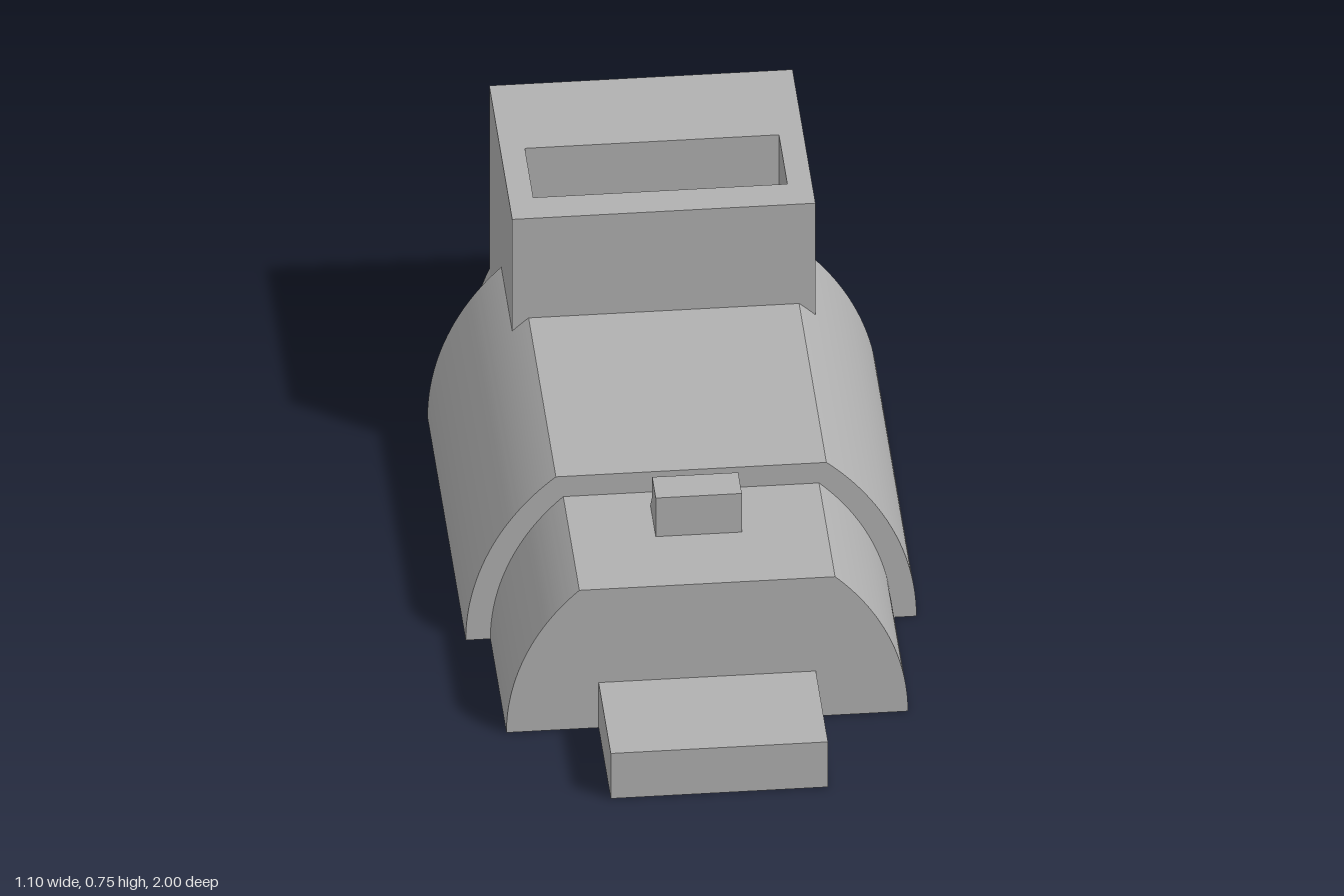
import * as THREE from 'three';
import { toCreasedNormals } from 'three/addons/utils/BufferGeometryUtils.js';

const EPS = 1e-4;

// Keep only the triangles that do not lie fully on a plane listed in `planes` ([axis, value])
function openFaces(geometry, planes) {
  const src = (geometry.index ? geometry.toNonIndexed() : geometry).attributes.position.array;
  const kept = [];
  for (let i = 0; i < src.length; i += 9) {
    const onPlane = planes.some(([axis, value]) =>
      [0, 3, 6].every((k) => Math.abs(src[i + k + axis] - value) < EPS));
    if (!onPlane) kept.push(...src.slice(i, i + 9));
  }
  const g = new THREE.BufferGeometry();
  g.setAttribute('position', new THREE.Float32BufferAttribute(kept, 3));
  return toCreasedNormals(g, 0.4);
}

// Arched outline: half width w at the base, curving in to a flat top at (tx, ty)
function archShape(w, tx, ty) {
  const c = (tx * tx + ty * ty - w * w) / (2 * (tx - w));
  const r = w - c;
  const a = Math.atan2(ty, tx - c);
  const s = new THREE.Shape();
  s.moveTo(w, 0);
  s.absarc(c, 0, r, 0, a, false);
  s.lineTo(-tx, ty);
  s.absarc(-c, 0, r, Math.PI - a, Math.PI, false);
  return s;
}

// Arch extruded from z0 to z1, open underneath and at any inner joint
function archHull(shape, z0, z1, joint) {
  const g = new THREE.ExtrudeGeometry(shape, { depth: z1 - z0, bevelEnabled: false, curveSegments: 28 });
  g.translate(0, 0, z0);
  return openFaces(g, [[1, 0], [2, joint]]);
}

function rectPath(x0, x1, z0, z1, Type = THREE.Path) {
  return new Type([[x0, z0], [x1, z0], [x1, z1], [x0, z1]].map((p) => new THREE.Vector2(...p)));
}

export function createModel() {
  const model = new THREE.Group();
  model.name = 'slideBody';
  const grey = new THREE.MeshStandardMaterial({ color: 0xb0b0b0 });
  grey.name = 'plainGrey';
  const add = (name, geometry) => {
    const mesh = new THREE.Mesh(geometry, grey);
    mesh.name = name;
    model.add(mesh);
    return mesh;
  };

  // Three arched sections, front to back
  const mainShape = archShape(0.55, 0.33, 0.464);
  add('frontSection', archHull(archShape(0.49, 0.312, 0.405), 0.28, 0.69, 0.28));
  add('mainSection', archHull(mainShape, -0.695, 0.28, -0.695));
  add('rearFoot', archHull(archShape(0.415, 0.37, 0.219), -1, -0.695, -0.695));

  // Rear shoulder of the main section, notched where it meets the foot
  const arch = mainShape.getPoints(28);
  const notch = [[-0.3, 0], [-0.3, 0.21], [0.3, 0.21], [0.3, 0]].map((p) => new THREE.Vector2(...p));
  const shoulder = new THREE.ShapeGeometry(new THREE.Shape([...arch, ...notch]));
  shoulder.rotateY(Math.PI).translate(0, 0, -0.695);
  add('rearShoulder', shoulder);

  // Tall rear block with a slot in its top
  const blockShape = rectPath(-0.37, 0.37, -1, -0.415, THREE.Shape);
  blockShape.holes.push(rectPath(-0.31, 0.31, -0.72, -0.505));
  const block = new THREE.ExtrudeGeometry(blockShape, { depth: 0.536, bevelEnabled: false });
  block.rotateX(Math.PI / 2).translate(0, 0.755, 0);
  add('rearBlock', block);
  add('slotFloor', new THREE.BoxGeometry(0.62, 0.02, 0.215)).position.set(0, 0.34, -0.6125);

  // Front tongue
  add('frontTongue', new THREE.BoxGeometry(0.53, 0.132, 0.31)).position.set(0, 0.066, 0.845);

  // Small catch on the front section, with a ramp behind it (drawn as z, y)
  const catchShape = new THREE.Shape(
    [[0.475, 0.4], [0.475, 0.518], [0.383, 0.518], [0.383, 0.46], [0.337, 0.405], [0.337, 0.4]]
      .map(([z, y]) => new THREE.Vector2(-z, y)));
  const catchGeo = new THREE.ExtrudeGeometry(catchShape, { depth: 0.21, bevelEnabled: false });
  catchGeo.translate(0, 0, -0.105).rotateY(Math.PI / 2);
  add('topCatch', catchGeo);

  // Flat underside with three square pockets
  const half = [[0.49, 0.69], [0.49, 0.28], [0.55, 0.28], [0.55, -0.695], [0.415, -0.695], [0.415, -1]];
  const outline = [...half, ...half.map(([x, z]) => [-x, z]).reverse()];
  const baseShape = new THREE.Shape(outline.map((p) => new THREE.Vector2(...p)));
  const size = 0.146, depth = 0.2;
  for (const [x, z] of [[0.35, 0.04], [-0.35, 0.04], [0, -0.76]]) {
    baseShape.holes.push(rectPath(x - size / 2, x + size / 2, z - size / 2, z + size / 2));
    // Mirrored box, so its faces look inward
    const box = new THREE.BoxGeometry(size, depth, size).scale(1, -1, 1).translate(x, depth / 2, z);
    add('basePocket', openFaces(box, [[1, 0]]));
  }
  add('underside', new THREE.ShapeGeometry(baseShape).rotateX(Math.PI / 2));

  return model;
}
